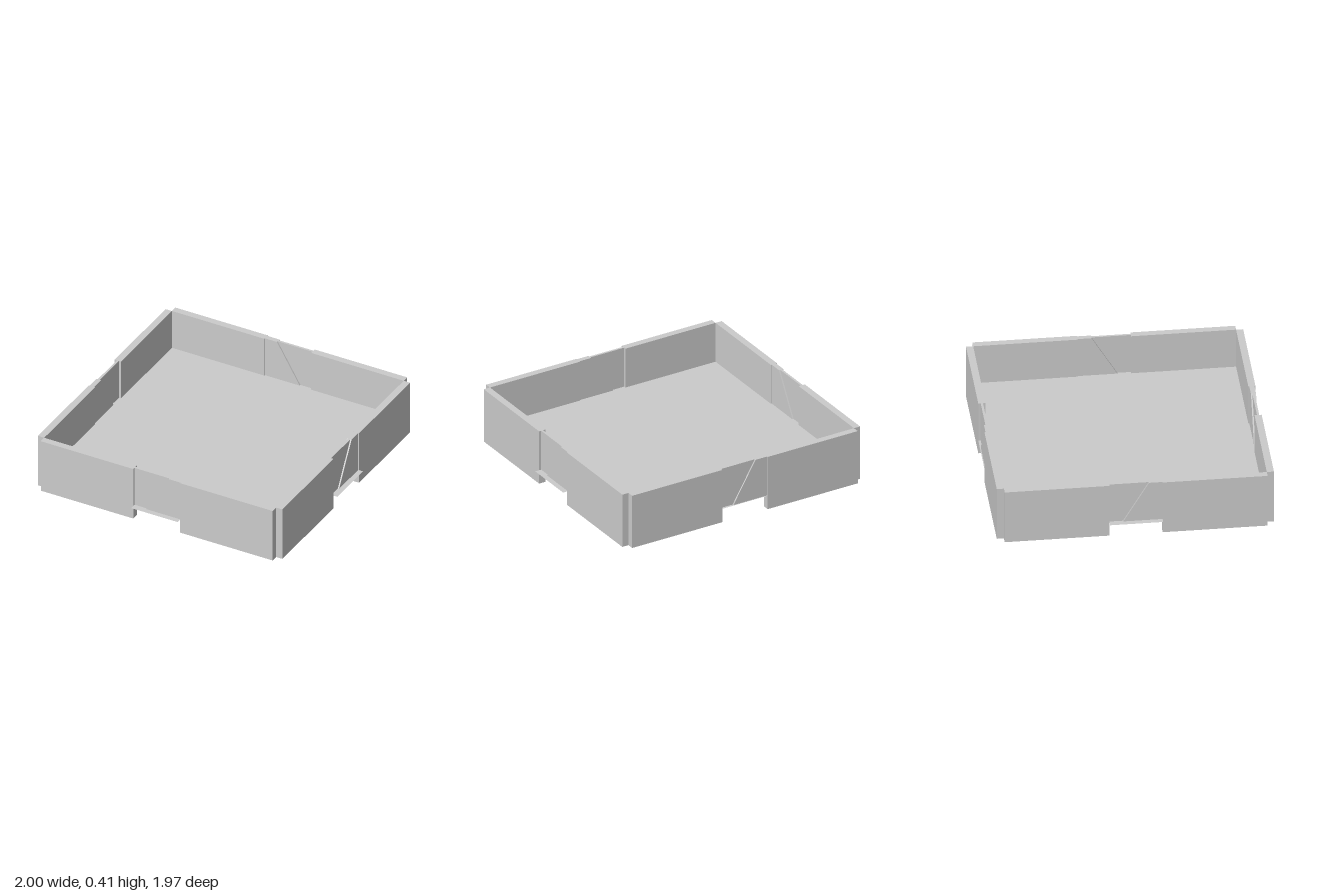
import * as THREE from 'three';

const H = 0.41, GAP = 0.105, DOOR = 0.185, IN = 0.918, OUT = 0.968;
const material = new THREE.MeshStandardMaterial({ color: 0xcccccc, flatShading: true, side: THREE.DoubleSide });

// Upright slab: outline in x/y, running from depth z0 to z1
function slab(name, points, z0, z1) {
  const shape = new THREE.Shape(points.map(([x, y]) => new THREE.Vector2(x, y)));
  const geometry = new THREE.ExtrudeGeometry(shape, { depth: z1 - z0, bevelEnabled: false });
  geometry.translate(0, 0, z0);
  const mesh = new THREE.Mesh(geometry, material);
  mesh.name = name;
  return mesh;
}

// Flat horizontal sheet at floor height
function sheet(name, width, depth, z) {
  const geometry = new THREE.PlaneGeometry(width, depth).rotateX(-Math.PI / 2);
  geometry.translate(0, GAP, z);
  const mesh = new THREE.Mesh(geometry, material);
  mesh.name = name;
  return mesh;
}

// One side: two wall sections and a raised doorway of two diagonal leaves
function createSide(hasSill) {
  const side = new THREE.Group();
  for (const s of [-1, 1]) {
    side.add(slab(s < 0 ? 'wallLeftSection' : 'wallRightSection',
      [[s * DOOR, 0], [s * IN, 0], [s * IN, H], [s * DOOR, H]], IN, OUT));
  }
  const low = -0.09, high = 0.09;
  side.add(slab('thinDoorLeaf', [[-DOOR, GAP], [low, GAP], [high, H], [-DOOR, H]], 0.935, 0.951));
  side.add(slab('thickDoorLeaf', [[low, GAP], [DOOR, GAP], [DOOR, H], [high, H]], 0.925, 0.961));
  // Floor strip under the doorway, reaching out as a sill
  const end = hasSill ? 1 : OUT;
  side.add(sheet('doorSill', 2 * DOOR, end - IN, (IN + end) / 2));
  return side;
}

export function createModel() {
  const model = new THREE.Group();
  model.name = 'walledTray';
  model.add(sheet('floor', 2 * IN, 2 * IN, 0));
  ['frontSide', 'leftSide', 'backSide', 'rightSide'].forEach((name, i) => {
    const side = createSide(name !== 'backSide');
    side.name = name;
    side.rotation.y = i * Math.PI / 2;
    model.add(side);
  });
  // The sill at the front only shifts the tray back a little
  model.position.z = -0.016;
  return model;
}
